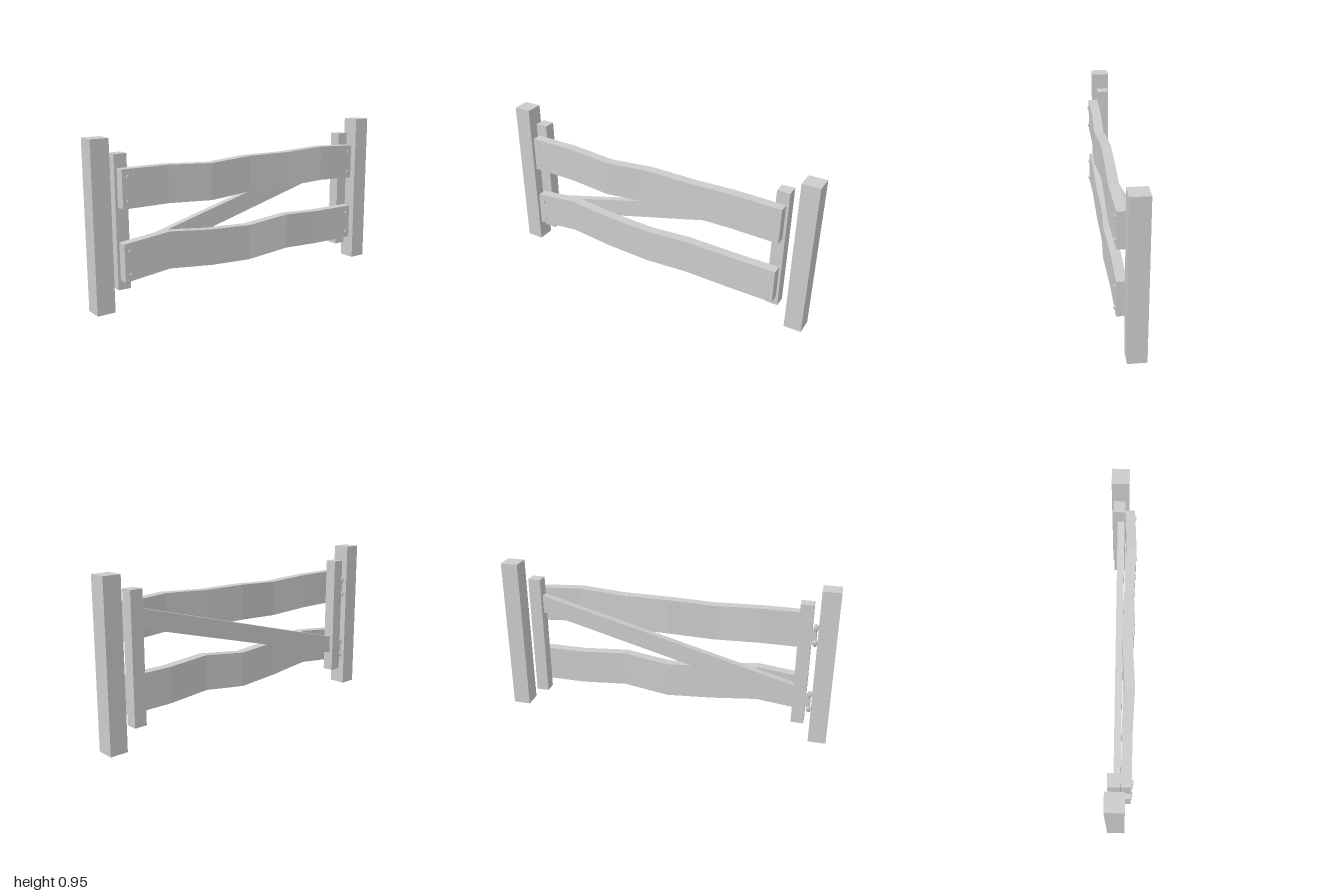
import * as THREE from 'three';

const material = new THREE.MeshStandardMaterial({ color: 0xcccccc, flatShading: true });

export function createModel() {
  const group = new THREE.Group();

  function add(name, geometry, x = 0, y = 0, z = 0) {
    const mesh = new THREE.Mesh(geometry, material);
    mesh.name = name;
    mesh.position.set(x, y, z);
    group.add(mesh);
    return mesh;
  }

  // Box given by its limits on each axis
  function block(name, x0, x1, y0, y1, z0, z1) {
    return add(name, new THREE.BoxGeometry(x1 - x0, y1 - y0, z1 - z0),
      (x0 + x1) / 2, (y0 + y1) / 2, (z0 + z1) / 2);
  }

  // Warped plank: each of the seven stations is shifted in y and z
  function plank(name, y, dy, dz) {
    const geometry = new THREE.BoxGeometry(1.665, 0.213, 0.058, 6, 1, 1);
    const p = geometry.attributes.position;
    for (let i = 0; i < p.count; i++) {
      const s = Math.round((p.getX(i) / 1.665 + 0.5) * 6);
      p.setY(i, p.getY(i) + dy[s]);
      p.setZ(i, p.getZ(i) + dz[s]);
    }
    geometry.computeVertexNormals();
    add(name, geometry, -0.0125, y, 0.035);
  }

  // Ground posts
  block('leftPost', 0.895, 1, 0, 0.947, -0.077, 0.029);
  block('rightPost', -1, -0.895, 0, 0.947, -0.077, 0.029);

  // Upright stiles of the gate
  block('leftStile', 0.76, 0.835, 0.112, 0.858, -0.065, 0.006);
  block('rightStile', -0.86, -0.785, 0.112, 0.858, -0.065, 0.006);

  // Planks
  plank('upperPlank', 0.676, [0, 0, -0.015, 0, 0, 0.014, 0], [0, 0, 0.012, -0.006, 0, 0.012, 0]);
  plank('lowerPlank', 0.273, [0, 0.03, 0, -0.016, 0.015, 0, 0], [0, 0, 0, -0.006, 0.012, 0, 0]);

  // Diagonal brace with its ends let into the stiles
  const brace = new THREE.Shape([
    new THREE.Vector2(-0.8, 0.228), new THREE.Vector2(0.775, 0.645),
    new THREE.Vector2(0.775, 0.755), new THREE.Vector2(-0.8, 0.338),
  ]);
  add('brace', new THREE.ExtrudeGeometry(brace, { depth: 0.042, bevelEnabled: false }), 0, 0, -0.04);

  // Plank bolts
  for (const x of [-0.812, 0.79]) {
    for (const y of [0.74, 0.611, 0.335, 0.206]) {
      const bolt = add('bolt', new THREE.CylinderGeometry(0.011, 0.011, 0.02, 8), x, y, 0.063);
      bolt.rotation.x = Math.PI / 2;
    }
  }

  // Hinges: a pin with flared ends, a post hook and a stile plate
  const pinProfile = [
    [0, -0.065], [0.01, -0.065], [0.014, -0.055], [0.014, -0.038], [0.008, -0.028],
    [0.008, 0.028], [0.014, 0.038], [0.014, 0.055], [0.01, 0.065], [0, 0.065],
  ].map(([r, y]) => new THREE.Vector2(r, y));
  for (const y of [0.675, 0.254]) {
    add('hingePin', new THREE.LatheGeometry(pinProfile, 8), -0.88, y, -0.05);
    block('hingePlate', -0.872, -0.858, y - 0.035, y + 0.035, -0.056, -0.044);
    for (const s of [-1, 1]) {
      block('hingeHook', -0.897, -0.88, y + s * 0.047 - 0.007, y + s * 0.047 + 0.007, -0.056, -0.044);
    }
  }

  return group;
}
